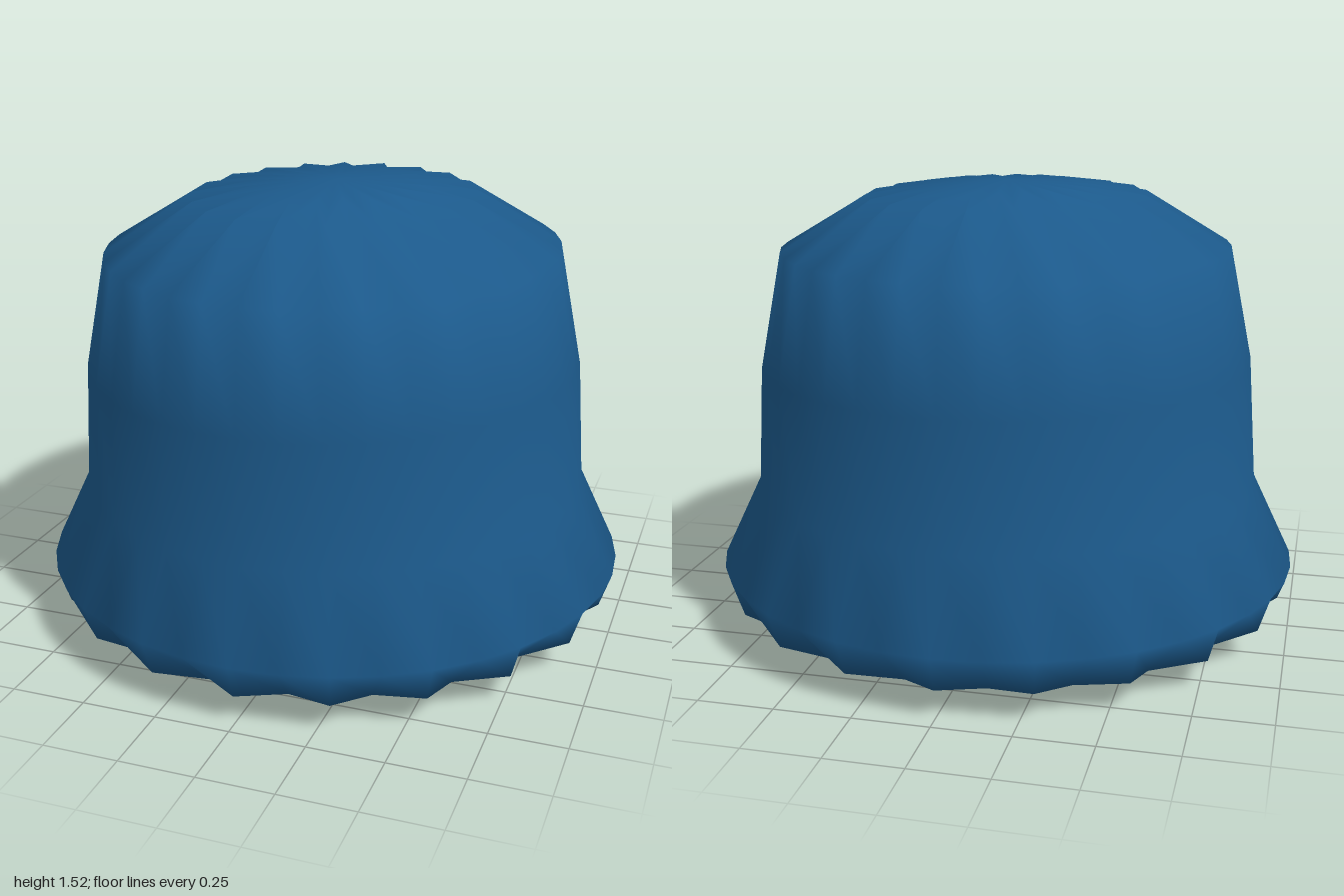
import * as THREE from 'three';
import { mergeVertices } from 'three/addons/utils/BufferGeometryUtils.js';

const SEGMENTS = 40;

// Rings from bottom to top: [radius x, radius z, y]; crimped rings add the values for odd corners
const rings = [
  [0, 0, 0],
  [0.96, 0.96, 0.10, 0.84, 0.84, 0.06], // crimped underside
  [1, 1, 0.22],
  [0.865, 0.885, 0.50],
  [0.835, 0.90, 0.92],
  [0.755, 0.855, 1.305],
  [0.47, 0.545, 1.48, 0.27, 0.31, 1.51], // pleated crown
  [0, 0, 1.525],
];

export function createModel() {
  const group = new THREE.Group();

  let geometry = new THREE.LatheGeometry(rings.map(r => new THREE.Vector2(r[0], r[2])), SEGMENTS);
  const pos = geometry.attributes.position;

  // Stretch each ring to its ellipse and pull in every second corner of the crimped ones
  for (let i = 0; i < pos.count; i++) {
    const ring = rings[i % rings.length];
    const step = Math.floor(i / rings.length) % SEGMENTS;
    const [rx, rz, y] = step % 2 && ring.length > 3 ? ring.slice(3) : ring;
    const a = step / SEGMENTS * Math.PI * 2;
    pos.setXYZ(i, rx * Math.sin(a), y, rz * Math.cos(a));
  }

  // Weld the seam and poles for smooth shading all over
  geometry.deleteAttribute('normal');
  geometry.deleteAttribute('uv');
  geometry = mergeVertices(geometry, 1e-4);
  geometry.computeVertexNormals();

  const body = new THREE.Mesh(geometry, new THREE.MeshStandardMaterial({ color: 0x1c5a8c }));
  body.name = 'hatBody';
  group.add(body);
  return group;
}
